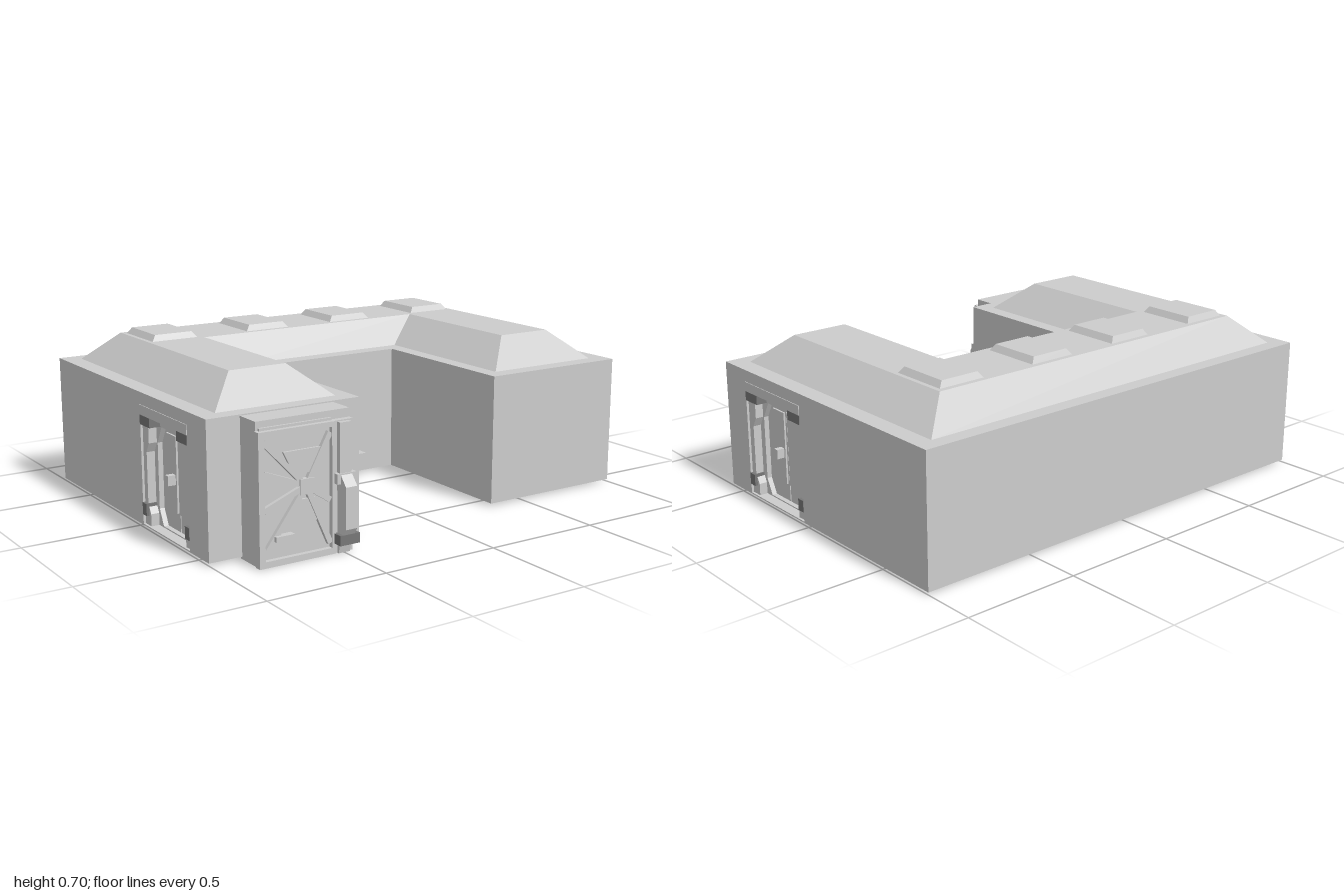
import * as THREE from 'three';

const hull = new THREE.MeshStandardMaterial({ color: 0xcccccc });
hull.name = 'hull grey';
const dark = new THREE.MeshStandardMaterial({ color: 0x777777 });
dark.name = 'bracket grey';

function add(parent, name, geometry, material = hull) {
  const mesh = new THREE.Mesh(geometry, material);
  mesh.name = name;
  parent.add(mesh);
  return mesh;
}

// Box given by its limits on each axis
function box(parent, name, x0, x1, y0, y1, z0, z1, material) {
  const mesh = add(parent, name, new THREE.BoxGeometry(x1 - x0, y1 - y0, z1 - z0), material);
  mesh.position.set((x0 + x1) / 2, (y0 + y1) / 2, (z0 + z1) / 2);
  return mesh;
}

const shapeOf = (pts) => new THREE.Shape(pts.map(([x, y]) => new THREE.Vector2(x, y)));
const extrude = (shape, depth) => new THREE.ExtrudeGeometry(shape, { depth, bevelEnabled: false });

// Vertical prism over an (x, z) footprint
function prism(pts, y0, y1) {
  return extrude(shapeOf(pts.map(([x, z]) => [x, -z])), y1 - y0)
    .rotateX(-Math.PI / 2).translate(0, y0, 0);
}

// Sloped sides between two matching (x, z) loops, closed on top
function loft(bottom, top, y0, y1) {
  const pos = [];
  const n = bottom.length;
  for (let i = 0; i < n; i++) {
    const j = (i + 1) % n;
    const a = [bottom[i][0], y0, bottom[i][1]], b = [bottom[j][0], y0, bottom[j][1]];
    const c = [top[j][0], y1, top[j][1]], d = [top[i][0], y1, top[i][1]];
    pos.push(...a, ...b, ...c, ...a, ...c, ...d);
  }
  const flat = top.map(([x, z]) => new THREE.Vector2(x, -z));
  for (const tri of THREE.ShapeUtils.triangulateShape(flat, [])) {
    for (const k of tri) pos.push(top[k][0], y1, top[k][1]);
  }
  const g = new THREE.BufferGeometry();
  g.setAttribute('position', new THREE.Float32BufferAttribute(pos, 3));
  g.computeVertexNormals();
  return g;
}

// U-shaped loop: outer half width, front, back, inner half width, inner back
const uLoop = (ox, zf, zb, ix, zi) => [
  [-ox, zf], [-ix, zf], [-ix, zi], [ix, zi], [ix, zf], [ox, zf], [ox, zb], [-ox, zb],
];
const rectLoop = (x, z, w, d) => [
  [x - w / 2, z + d / 2], [x + w / 2, z + d / 2], [x + w / 2, z - d / 2], [x - w / 2, z - d / 2],
];

// Recessed double door; local +z points out of the wall
function sideDoor(name) {
  const g = new THREE.Group();
  g.name = name;
  const frame = shapeOf([[-0.2, 0.02], [0.2, 0.02], [0.2, 0.51], [-0.2, 0.51]]);
  frame.holes.push(shapeOf([[-0.11, 0.025], [-0.143, 0.09], [-0.143, 0.36], [-0.105, 0.43],
    [0.105, 0.43], [0.143, 0.36], [0.143, 0.09], [0.11, 0.025]]));
  add(g, 'doorFrame', extrude(frame, 0.03)).position.z = -0.075;
  box(g, 'lintel', -0.2, 0.2, 0.47, 0.51, -0.05, 0.003);
  for (const s of [-1, 1]) {
    // Chamfered pillar, wider at its ends
    const pillar = [[0.2, 0.02], [0.2, 0.47], [0.15, 0.47], [0.15, 0.36], [0.172, 0.32], [0.172, 0.11], [0.15, 0.07], [0.15, 0.02]];
    add(g, 'pillar', extrude(shapeOf(pillar.map(([x, y]) => [s * x, y])), 0.035)).position.z = -0.045;
    const span = (a, b) => (s > 0 ? [a, b] : [-b, -a]);
    box(g, 'upperBracket', ...span(0.115, 0.2), 0.43, 0.469, -0.045, 0.002, dark);
    box(g, 'lowerBracket', ...span(0.165, 0.2), 0.06, 0.11, -0.045, 0.002, dark);
    // Door leaf with its raised panel
    box(g, 'doorLeaf', ...span(0.003, 0.143), 0.02, 0.43, -0.085, -0.066);
    const panel = [[0.012, 0.1], [0.1, 0.1], [0.125, 0.14], [0.125, 0.36], [0.095, 0.41], [0.012, 0.41]];
    add(g, 'leafPanel', extrude(shapeOf(panel.map(([x, y]) => [s * x, y])), 0.008)).position.z = -0.066;
  }
  box(g, 'doorHandle', -0.045, -0.02, 0.215, 0.255, -0.06, -0.025);
  return g;
}

// Porch with a braced hatch on the front of one wing
function porch() {
  const g = new THREE.Group();
  g.name = 'porch';
  box(g, 'porchBody', -0.86, -0.455, 0.005, 0.555, 0.57, 0.69);
  box(g, 'hatchPlate', -0.85, -0.54, 0.02, 0.53, 0.69, 0.70);
  const rim = shapeOf([[-0.865, 0.005], [-0.535, 0.005], [-0.535, 0.52], [-0.865, 0.52]]);
  rim.holes.push(shapeOf([[-0.84, 0.03], [-0.84, 0.5], [-0.55, 0.5], [-0.55, 0.03]]));
  add(g, 'hatchRim', extrude(rim, 0.03)).position.z = 0.69;
  // Trapezoid stiffeners above and below the centre
  for (const s of [-1, 1]) {
    const plate = [[-0.05, 0.05], [0.04, 0.05], [0.085, 0.14], [-0.095, 0.14]];
    add(g, 'hatchStiffener', extrude(shapeOf(plate.map(([x, y]) => [x - 0.66, 0.29 + s * y])), 0.012)).position.z = 0.698;
  }
  // Ribs radiating from the hub
  for (const [x, y] of [[-0.84, 0.48], [-0.555, 0.48], [-0.84, 0.05], [-0.555, 0.05], [-0.84, 0.36], [-0.84, 0.22], [-0.555, 0.22]]) {
    const dx = x + 0.66, dy = y - 0.29;
    const rib = add(g, 'hatchRib', new THREE.BoxGeometry(Math.hypot(dx, dy), 0.022, 0.02));
    rib.position.set(-0.66 + dx / 2, 0.29 + dy / 2, 0.706);
    rib.rotation.z = Math.atan2(dy, dx);
  }
  box(g, 'hatchHub', -0.69, -0.63, 0.26, 0.32, 0.695, 0.722);
  box(g, 'lowerLatch', -0.8, -0.72, 0.1, 0.12, 0.7, 0.73);
  // Hinge bar bulging outward in its lower half
  const bar = [[0.68, 0.005], [0.725, 0.005], [0.735, 0.05], [0.775, 0.11], [0.775, 0.275], [0.735, 0.32], [0.735, 0.515], [0.68, 0.515]];
  add(g, 'hingeBar', extrude(shapeOf(bar), 0.05).rotateY(-Math.PI / 2)).position.x = -0.475;
  box(g, 'hingePost', -0.535, -0.455, 0.005, 0.52, 0.685, 0.715);
  box(g, 'hingeStrap', -0.54, -0.455, 0.28, 0.32, 0.71, 0.74);
  box(g, 'hingeBracket', -0.54, -0.453, 0.045, 0.085, 0.7, 0.76, dark);
  return g;
}

export function createModel() {
  const model = new THREE.Group();
  model.name = 'outpostBuilding';

  // Walls: floor slab, notched storey for the side doors, top band
  const outline = uLoop(1, 0.58, -0.775, 0.335, -0.145);
  const notched = [...outline.slice(0, 6),
    [1, 0.43], [0.91, 0.43], [0.91, 0.03], [1, 0.03],
    ...outline.slice(6),
    [-1, 0.03], [-0.91, 0.03], [-0.91, 0.43], [-1, 0.43]];
  add(model, 'floorSlab', prism(outline, 0.015, 0.02));
  add(model, 'walls', prism(notched, 0.02, 0.51));
  add(model, 'wallTop', prism(outline, 0.51, 0.56));

  // Hipped roof with a flat top
  add(model, 'roof', loft(uLoop(0.925, 0.51, -0.71, 0.4, -0.215),
    uLoop(0.79, 0.375, -0.59, 0.54, -0.29), 0.56, 0.68));

  // Row of roof hatches
  for (const x of [-0.667, -0.215, 0.215, 0.667]) {
    add(model, 'roofHatch', loft(rectLoop(x, -0.44, 0.21, 0.255), rectLoop(x, -0.44, 0.17, 0.225), 0.679, 0.705));
  }

  // Side doors
  for (const s of [-1, 1]) {
    const door = sideDoor(s > 0 ? 'leftDoor' : 'rightDoor');
    door.position.set(s, 0, 0.23);
    door.rotation.y = s * Math.PI / 2;
    model.add(door);
  }

  model.add(porch());

  // Courtyard wall units
  box(model, 'upperWallUnit', -0.285, -0.15, 0.2, 0.27, -0.15, -0.065);
  box(model, 'lowerWallUnit', 0.003, 0.14, 0.05, 0.12, -0.15, -0.065);
  box(model, 'wallPanel', 0.003, 0.145, 0.12, 0.265, -0.147, -0.142);
  return model;
}
